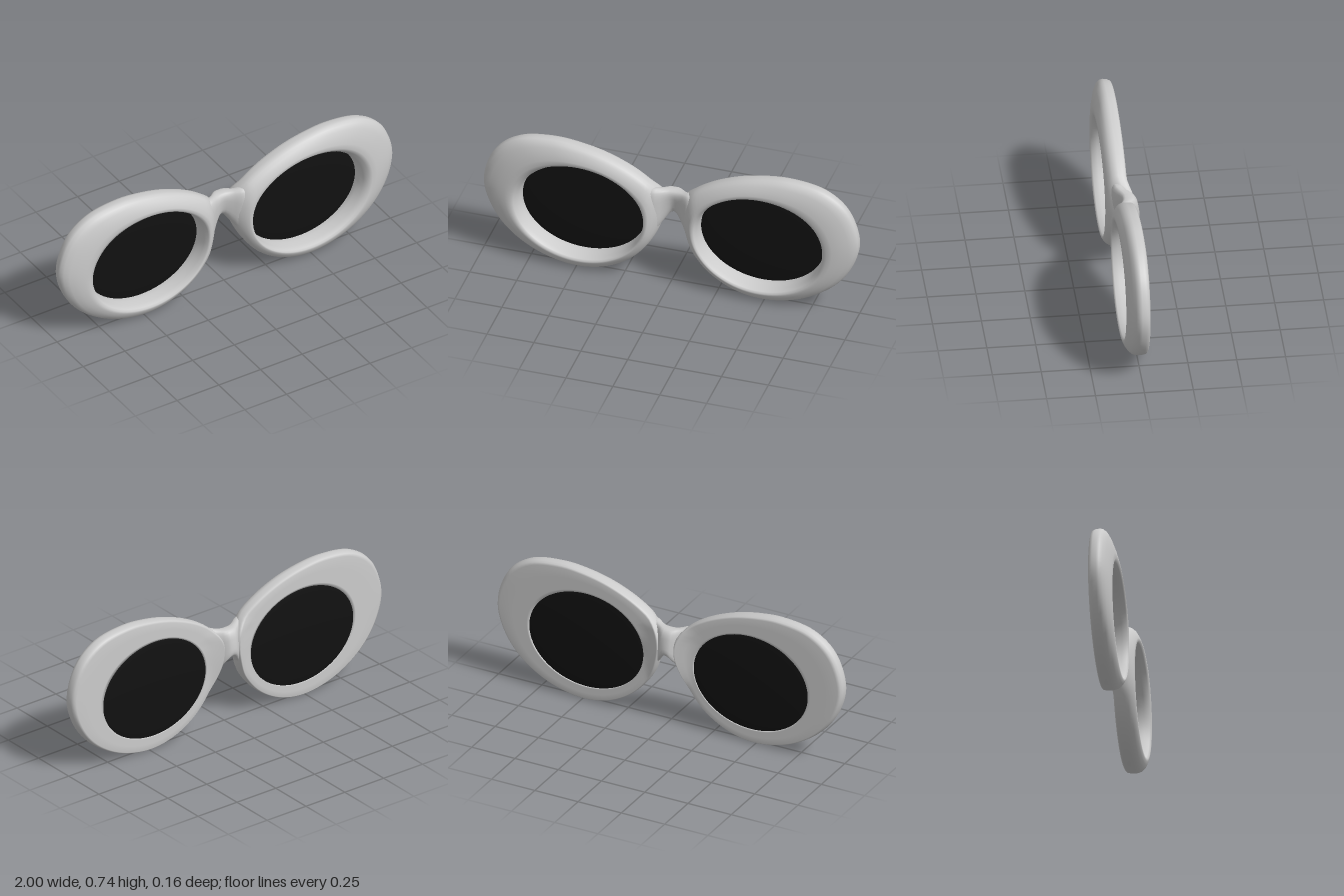
import * as THREE from 'three';

const LENS = { x: 0.475, y: 0.35, rx: 0.33, ry: 0.268 };

// Outer outline of one rim, counter-clockwise from the bridge side
const OUTLINE = [
  [0.04, 0.42], [0.06, 0.335], [0.105, 0.235], [0.2, 0.115], [0.34, 0.03], [0.5, 0.002],
  [0.7, 0.045], [0.87, 0.155], [0.965, 0.29], [1, 0.44], [0.94, 0.62], [0.82, 0.715],
  [0.64, 0.746], [0.5, 0.735], [0.35, 0.7], [0.2, 0.635], [0.1, 0.565], [0.05, 0.5],
];

// Rim cross-section: [0 = lens edge .. 1 = outer edge, z]
const SECTION = [
  [0, -0.035], [0.01, 0], [0.04, 0.04], [0.12, 0.066], [0.22, 0.075], [0.36, 0.073],
  [0.55, 0.066], [0.78, 0.053], [0.92, 0.038], [0.985, 0.022], [1, 0.008], [0.985, -0.015],
  [0.95, -0.029], [0.88, -0.035], [0.5, -0.035], [0.08, -0.035],
];

// Skins a list of closed rings; "closed" also joins the last ring to the first
function loft(rings, closed, flip) {
  const n = rings.length, m = rings[0].length, index = [];
  for (let i = 0; i < (closed ? n : n - 1); i++) {
    for (let j = 0; j < m; j++) {
      const i2 = (i + 1) % n, j2 = (j + 1) % m;
      const a = i * m + j, b = i * m + j2, c = i2 * m + j, d = i2 * m + j2;
      if (flip) index.push(a, c, b, b, c, d);
      else index.push(a, b, c, b, d, c);
    }
  }
  const g = new THREE.BufferGeometry();
  g.setAttribute('position', new THREE.Float32BufferAttribute(rings.flat(2), 3));
  g.setIndex(index);
  g.computeVertexNormals();
  return g;
}

// One rim; side is +1 for left, -1 for right
function rimGeometry(side) {
  const curve = new THREE.CatmullRomCurve3(
    OUTLINE.map(([x, y]) => new THREE.Vector3(x, y, 0)), true);
  const rings = curve.getSpacedPoints(96).slice(0, 96).map((o) => {
    const a = Math.atan2((o.y - LENS.y) / LENS.ry, (o.x - LENS.x) / LENS.rx);
    const ix = LENS.x + LENS.rx * Math.cos(a), iy = LENS.y + LENS.ry * Math.sin(a);
    return SECTION.map(([s, z]) => {
      const x = ix + (o.x - ix) * s, y = iy + (o.y - iy) * s;
      // sweep back towards the bridge
      const bend = 0.045 * (1 - THREE.MathUtils.smoothstep(x, 0.02, 0.13));
      return [side * x, y, z - bend];
    });
  });
  return loft(rings, true, side < 0);
}

// Nose bridge: rounded sections along x, arched below and set back in the middle
function bridgeGeometry() {
  // [x, top, bottom, front, back]
  const half = [
    [0, 0.544, 0.4, 0, -0.082], [0.015, 0.544, 0.394, 0.002, -0.082],
    [0.03, 0.544, 0.377, 0.008, -0.077], [0.045, 0.545, 0.355, 0.015, -0.064],
    [0.06, 0.546, 0.335, 0.025, -0.05], [0.08, 0.552, 0.3, 0.04, -0.036],
    [0.1, 0.556, 0.29, 0.05, -0.03], [0.125, 0.55, 0.31, 0.05, -0.028],
  ];
  const stations = [
    ...half.slice(1).reverse().map(([x, ...rest]) => [-x, ...rest]), ...half];
  const round = (v) => Math.sign(v) * Math.abs(v) ** 0.65;
  return loft(stations.map(([x, top, bottom, front, back]) => {
    const ring = [];
    for (let k = 0; k < 28; k++) {
      const a = (k / 28) * Math.PI * 2;
      const c = round(Math.cos(a)), s = round(Math.sin(a));
      const y = (top + bottom) / 2 + c * (top - bottom) / 2;
      // upper part leans forward
      const lean = 0.012 * c * (1 - Math.abs(x) / 0.125);
      ring.push([x, y, (front + back) / 2 + s * (front - back) / 2 + lean]);
    }
    return ring;
  }), false, false);
}

export function createModel() {
  const group = new THREE.Group();
  const frame = new THREE.MeshStandardMaterial({ color: 0xcccccc });
  const dark = new THREE.MeshStandardMaterial({ color: 0x111111 });
  const add = (name, geometry, material) => {
    const mesh = new THREE.Mesh(geometry, material);
    mesh.name = name;
    group.add(mesh);
    return mesh;
  };

  for (const [side, label] of [[1, 'left'], [-1, 'right']]) {
    add(label + 'Rim', rimGeometry(side), frame);
    // thin, slightly domed lens near the back of the rim
    const lens = add(label + 'Lens', new THREE.SphereGeometry(1, 64, 24), dark);
    lens.scale.set(LENS.rx * 1.01, LENS.ry * 1.01, 0.012);
    lens.position.set(side * LENS.x, LENS.y, -0.031);
  }
  add('bridge', bridgeGeometry(), frame);
  return group;
}
